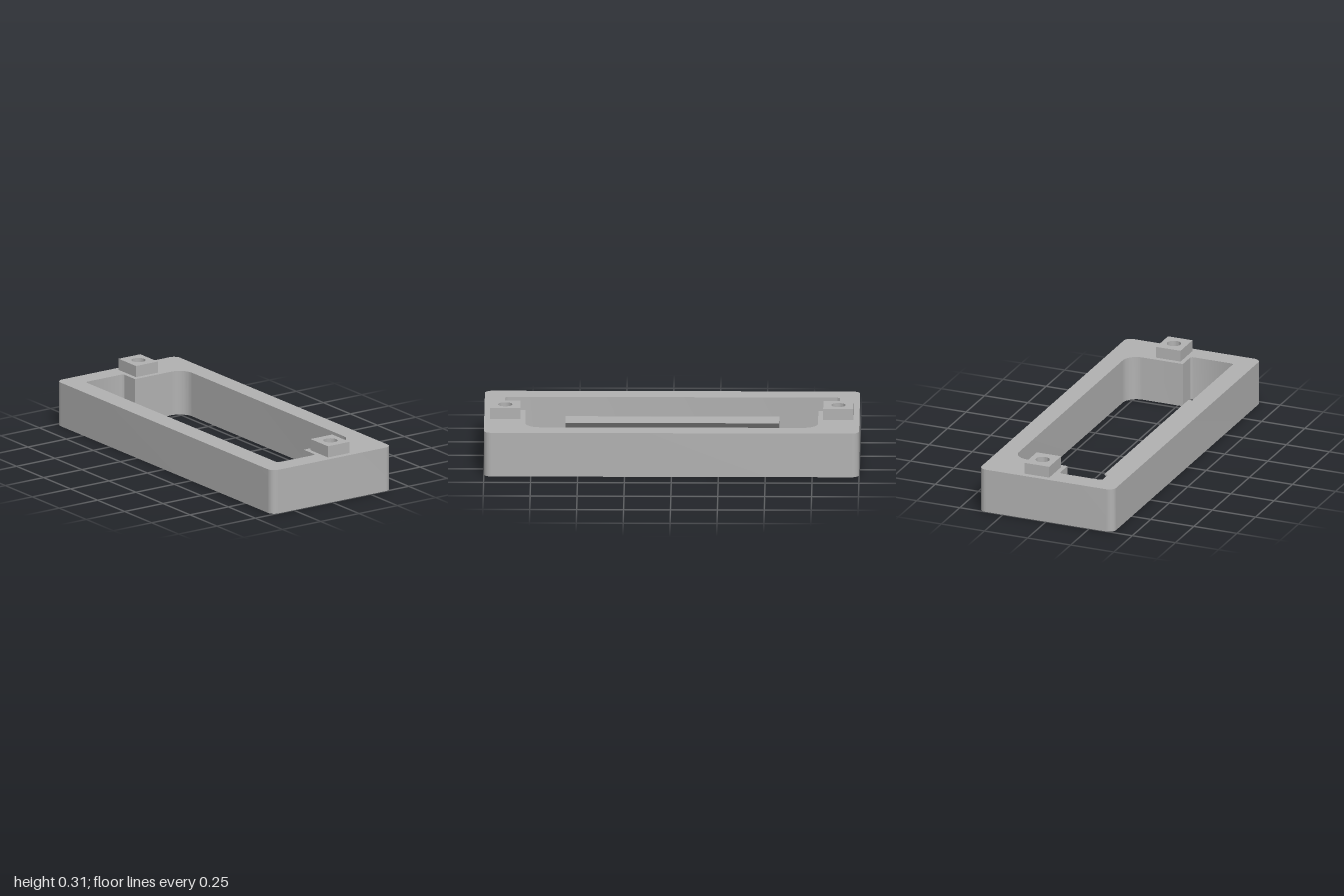
import * as THREE from 'three';
import { toCreasedNormals } from 'three/addons/utils/BufferGeometryUtils.js';

const HEIGHT = 0.243, TOP = 0.305;
const HOLE_X = 0.888, HOLE_Z = -0.068, BORE = 0.038, COUNTERBORE = 0.061, BORE_DEPTH = 0.18;

// Closed outline from [x, z, cornerRadius] points; plan z is stored as -y
function rounded(points, target) {
  const n = points.length;
  const v = points.map(([x, z]) => new THREE.Vector2(x, -z));
  for (let i = 0; i < n; i++) {
    const p = v[i], r = points[i][2];
    const a = v[(i + n - 1) % n].clone().sub(p).normalize();
    const b = v[(i + 1) % n].clone().sub(p).normalize();
    const s = a.clone().multiplyScalar(r).add(p), e = b.clone().multiplyScalar(r).add(p);
    if (i === 0) target.moveTo(s.x, s.y); else target.lineTo(s.x, s.y);
    if (r > 0) {
      const c = s.clone().add(e).sub(p);
      const a0 = Math.atan2(s.y - c.y, s.x - c.x), a1 = Math.atan2(e.y - c.y, e.x - c.x);
      target.absarc(c.x, c.y, r, a0, a1, a.cross(b) > 0);
    }
  }
  target.closePath();
  return target;
}

function circle(x, z, r, target) {
  target.absarc(x, -z, r, 0, Math.PI * 2, false);
  return target;
}

// Extrudes a plan shape upwards from y0 to y1
function slab(shape, y0, y1) {
  const g = new THREE.ExtrudeGeometry(shape, { depth: y1 - y0, bevelEnabled: false, curveSegments: 16 });
  g.rotateX(-Math.PI / 2).translate(0, y0, 0);
  return toCreasedNormals(g, 0.6);
}

export function createModel() {
  const group = new THREE.Group();
  const grey = new THREE.MeshStandardMaterial({ color: 0xb2b2b2 });
  grey.name = 'grey';
  const add = (name, geometry) => {
    const mesh = new THREE.Mesh(geometry, grey);
    mesh.name = name;
    group.add(mesh);
  };

  // Rounded frame with a stepped opening and two counterbores
  const outline = rounded([[-1, 0.39, 0.04], [1, 0.39, 0.04], [1, -0.39, 0.04], [-1, -0.39, 0.04]], new THREE.Shape());
  outline.holes.push(rounded([
    [-0.78, -0.285, 0.08], [0.78, -0.285, 0.08], [0.78, 0.03, 0], [0.89, 0.03, 0.016],
    [0.89, 0.277, 0.016], [-0.89, 0.277, 0.016], [-0.89, 0.03, 0.016], [-0.78, 0.03, 0],
  ], new THREE.Path()));
  for (const s of [-1, 1]) outline.holes.push(circle(s * HOLE_X, HOLE_Z, COUNTERBORE, new THREE.Path()));
  add('frame', slab(outline, 0, HEIGHT));

  for (const [s, side] of [[1, 'left'], [-1, 'right']]) {
    const x = s * HOLE_X, w = 0.081, z0 = -0.137, z1 = 0.005;

    // Raised square boss with a through hole
    const boss = rounded([[x - w, z1, 0], [x + w, z1, 0], [x + w, z0, 0], [x - w, z0, 0]], new THREE.Shape());
    boss.holes.push(circle(x, HOLE_Z, BORE, new THREE.Path()));
    add(side + 'Boss', slab(boss, HEIGHT, TOP));

    // Narrow bore above the counterbore
    const sleeve = circle(x, HOLE_Z, COUNTERBORE, new THREE.Shape());
    sleeve.holes.push(circle(x, HOLE_Z, BORE, new THREE.Path()));
    add(side + 'BoreSleeve', slab(sleeve, BORE_DEPTH, HEIGHT));
  }

  // Wedge ledge on the inside of the front wall, profile in (z, y)
  const profile = new THREE.Shape([[0.277, 0], [0.277, 0.136], [0.153, 0.136]].map(([z, y]) => new THREE.Vector2(z, y)));
  const ledge = new THREE.ExtrudeGeometry(profile, { depth: 1.14, bevelEnabled: false });
  ledge.rotateY(-Math.PI / 2).translate(0.57, 0, 0);
  add('wedgeLedge', ledge);

  return group;
}
